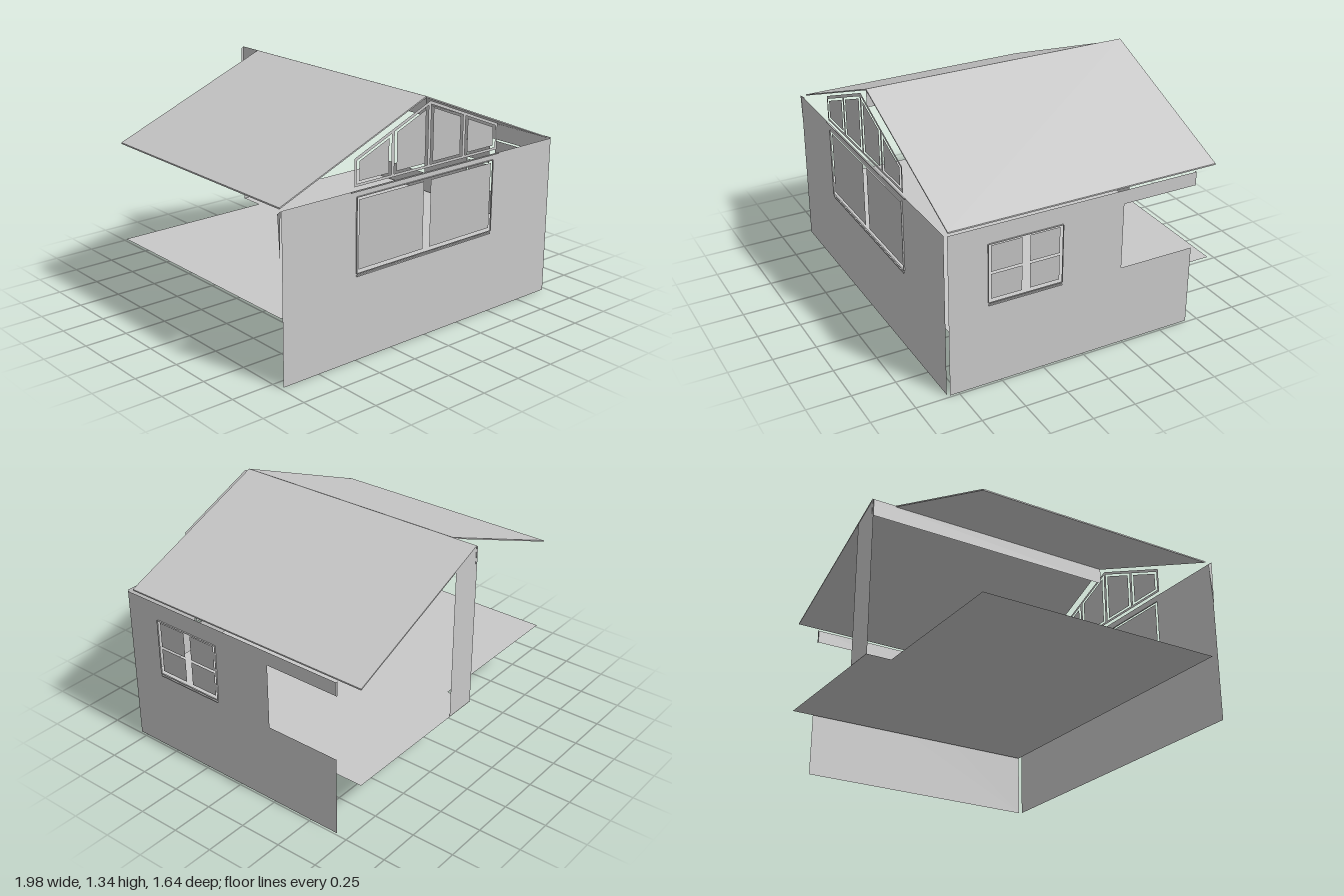
import * as THREE from 'three';

const paint = (name, color) => {
  const m = new THREE.MeshStandardMaterial({ color, side: THREE.DoubleSide });
  m.name = name;
  return m;
};

const rect = (x0, x1, y0, y1) => [[x0, y0], [x1, y0], [x1, y1], [x0, y1]];
const toPoints = (pts) => pts.map(([x, y]) => new THREE.Vector2(x, y));

// Flat panel from an outline with optional holes
function panel(name, outline, holes, material) {
  const shape = new THREE.Shape(toPoints(outline));
  holes.forEach((h) => shape.holes.push(new THREE.Path(toPoints(h))));
  const mesh = new THREE.Mesh(new THREE.ShapeGeometry(shape), material);
  mesh.name = name;
  return mesh;
}

function box(name, x0, x1, y0, y1, z0, z1, material) {
  const mesh = new THREE.Mesh(new THREE.BoxGeometry(x1 - x0, y1 - y0, z1 - z0), material);
  mesh.position.set((x0 + x1) / 2, (y0 + y1) / 2, (z0 + z1) / 2);
  mesh.name = name;
  return mesh;
}

// Slim raised edging round a rectangular opening, with a sill below
function edging(x0, x1, y0, y1, material) {
  const g = new THREE.Group();
  const t = 0.003, d = 0.008;
  g.name = 'windowEdging';
  g.add(
    box('edgeLeft', x0 - t, x0, y0, y1, 0, d, material),
    box('edgeRight', x1, x1 + t, y0, y1, 0, d, material),
    box('edgeTop', x0, x1, y1, y1 + t, 0, d, material),
    box('edgeBottom', x0, x1, y0 - t, y0, 0, d, material),
    box('sill', x0, x1, y0 - 0.018, y0 - 0.011, 0, d, material)
  );
  return g;
}

export function createModel() {
  const house = new THREE.Group();
  house.name = 'house';
  const plaster = paint('plaster', 0xc8c8c8);
  const glass = paint('glass', 0xc0c0c0);

  // Front wall with a wide two-pane window
  const front = new THREE.Group();
  front.name = 'frontSide';
  front.position.z = 0.813;
  front.add(panel('frontWall', rect(-0.98, 0.975, 0, 0.94), [rect(-0.5, 0.49, 0.492, 0.905)], plaster));
  front.add(edging(-0.5, 0.49, 0.492, 0.905, plaster));
  for (const [x0, x1] of [[-0.485, -0.03], [0.02, 0.48]]) {
    front.add(panel('frontPane', rect(x0, x1, 0.51, 0.89), [], glass));
  }
  front.add(box('gableLedge', -0.54, 0.535, 0.935, 0.941, 0, 0.008, plaster));

  // Gable window: four panes following the roof slope
  const slope = 0.41;
  const gablePane = (x0, x1, y0, top) =>
    [[x0, y0], [x1, y0], [x1, top - slope * Math.abs(x1)], [x0, top - slope * Math.abs(x0)]];
  const bays = [[-0.505, -0.27], [-0.25, -0.013], [0.007, 0.245], [0.265, 0.5]];
  const gable = new THREE.Group();
  gable.name = 'gableWindow';
  gable.position.z = 0.004;
  gable.add(panel('gableFrame',
    [[-0.52, 0.963], [0.515, 0.963], [0.515, 1.112], [0, 1.325], [-0.52, 1.112]],
    bays.map(([a, b]) => gablePane(a, b, 0.978, 1.307)), plaster));
  for (const [a, b] of bays) {
    gable.add(panel('gablePane', gablePane(a + 0.017, b - 0.017, 0.99, 1.294), [], glass));
  }
  front.add(gable);
  house.add(front);

  // Right-hand wall (local x runs toward the back) with an open bay and a window
  const side = new THREE.Group();
  side.name = 'sideWallGroup';
  side.position.x = 0.988;
  side.rotation.y = Math.PI / 2;
  side.add(panel('sideWall',
    [[-0.8, 0], [0.68, 0], [0.68, 0.475], [0.225, 0.475], [0.225, 0.86], [0.68, 0.86], [0.68, 0.94], [-0.8, 0.94]],
    [rect(-0.575, -0.145, 0.497, 0.835)], plaster));
  side.add(edging(-0.575, -0.145, 0.497, 0.835, plaster));
  for (const [x0, x1] of [[-0.56, -0.38], [-0.335, -0.16]]) {
    for (const [y0, y1] of [[0.515, 0.66], [0.673, 0.825]]) {
      side.add(panel('sidePane', rect(x0, x1, y0, y1), [], glass));
    }
  }
  house.add(side);
  const lintelEnd = panel('lintelEnd', rect(0.975, 0.988, 0.855, 0.94), [], plaster);
  lintelEnd.position.z = -0.68;
  house.add(lintelEnd);

  // Roof slopes; the right one reaches further back
  const rise = 0.395;
  for (const [name, run, back] of [['roofRight', 0.965, -0.82], ['roofLeft', -0.97, -0.67]]) {
    const s = Math.sign(run);
    const slab = new THREE.Shape(toPoints([[0, 1.334], [0, 1.342], [run, 1.342 - rise], [run, 1.334 - rise]]));
    const depth = 0.785 - back;
    const roof = new THREE.Mesh(new THREE.ExtrudeGeometry(slab, { depth, bevelEnabled: false }), plaster);
    roof.name = name;
    roof.position.set(s * 0.0005, 0, back);
    house.add(roof);
  }

  // Ridge beam and rear post
  const beam = panel('ridgeBeam', rect(-0.785, 0.82, 1.235, 1.335), [], plaster);
  beam.rotation.y = Math.PI / 2;
  house.add(beam);
  const post = panel('rearPost', [[-0.015, 0.365], [0.18, 0.365], [0.18, 1.262], [0, 1.335], [-0.015, 1.335]], [], plaster);
  post.position.z = -0.818;
  house.add(post);

  // Raised floor, stepped at the back like the roof
  const floor = panel('floor',
    [[-0.97, -0.785], [0.965, -0.785], [0.965, 0.82], [-0.015, 0.82], [-0.015, 0.67], [-0.97, 0.67]], [], plaster);
  floor.rotation.x = -Math.PI / 2;
  floor.position.y = 0.365;
  house.add(floor);

  // Small tapered bracket at the front corner
  const bracket = panel('cornerBracket', [[-0.815, 0.94], [-0.79, 0.92], [-0.808, 0.67]], [], plaster);
  bracket.rotation.y = Math.PI / 2;
  bracket.position.x = -0.988;
  house.add(bracket);

  return house;
}
